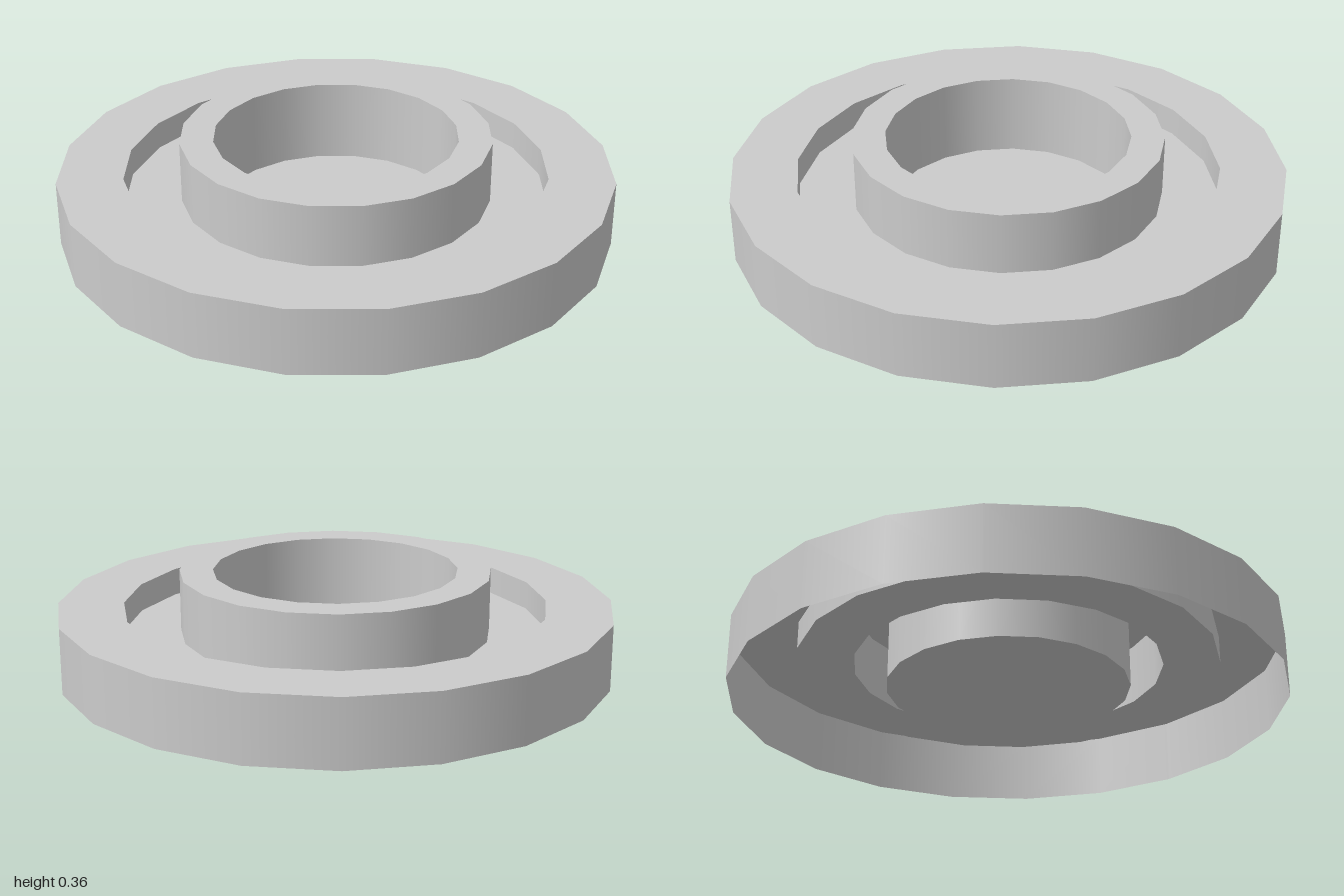
import * as THREE from 'three';

const SIDES = 20;

export function createModel() {
  const model = new THREE.Group();
  model.name = 'steppedDisc';
  const material = new THREE.MeshStandardMaterial({ color: 0xcccccc, side: THREE.DoubleSide });

  // One thin shell, open underneath: each band runs from the previous [radius, height] to its own
  const start = [1, 0];
  const bands = [
    ['outerWall', 1, 0.24],
    ['outerRim', 0.763, 0.24],
    ['grooveWall', 0.763, 0.138],
    ['grooveFloor', 0.56, 0.138],
    ['collarOuterWall', 0.56, 0.363],
    ['collarRim', 0.44, 0.363],
    ['collarInnerWall', 0.44, 0.06],
    ['centreFloor', 0, 0.06],
  ];

  // A separate lathe per band keeps the edges sharp and the walls smooth
  let from = new THREE.Vector2(...start);
  for (const [name, radius, height] of bands) {
    const to = new THREE.Vector2(radius, height);
    const band = new THREE.Mesh(new THREE.LatheGeometry([from, to], SIDES), material);
    band.name = name;
    model.add(band);
    from = to;
  }
  return model;
}
